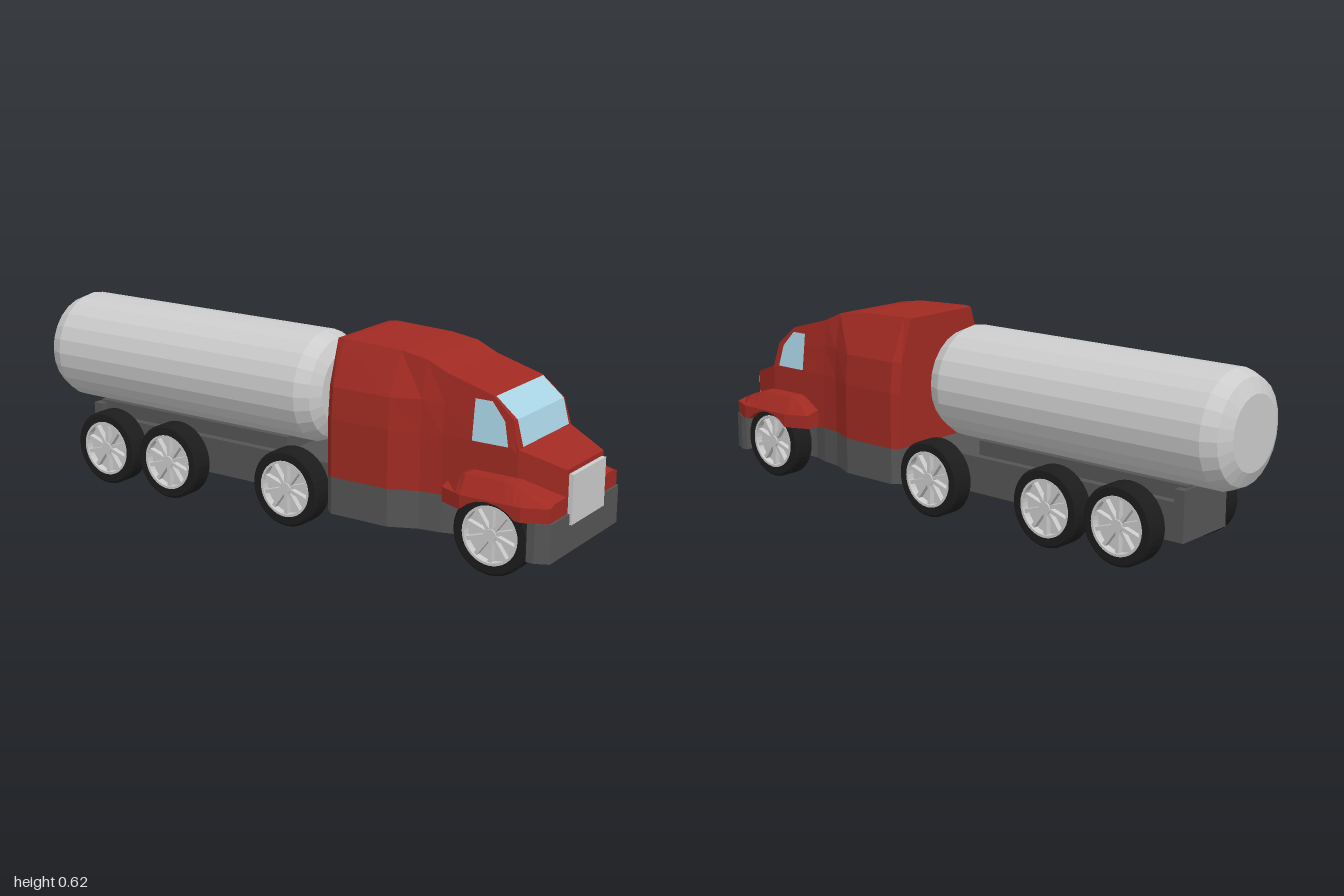
import * as THREE from 'three';

const mat = (color, extra = {}) => new THREE.MeshStandardMaterial({ color, ...extra });
const grey = mat(0xcccccc, { flatShading: true });
const red = mat(0xa02a22, { flatShading: true });
const dark = mat(0x555555, { flatShading: true });
const rubber = mat(0x1c1c1c);
const metal = mat(0xcccccc);
const glass = mat(0xa9d3e4, { side: THREE.DoubleSide });

function add(parent, name, geometry, material, x = 0, y = 0, z = 0) {
  const mesh = new THREE.Mesh(geometry, material);
  mesh.name = name;
  mesh.position.set(x, y, z);
  parent.add(mesh);
  return mesh;
}

// Skins rings of [x, y] points, counterclockwise seen from +z, placed at rising z
function loft(sections) {
  const n = sections[0].ring.length;
  const pos = [];
  const put = (i, j) => {
    const s = sections[i], p = s.ring[j % n];
    pos.push(p[0], p[1], s.z);
  };
  const last = sections.length - 1;
  for (let i = 0; i < last; i++) {
    for (let j = 0; j < n; j++) {
      put(i, j); put(i, j + 1); put(i + 1, j + 1);
      put(i, j); put(i + 1, j + 1); put(i + 1, j);
    }
  }
  for (let j = 1; j < n - 1; j++) {
    put(0, 0); put(0, j + 1); put(0, j);
    put(last, 0); put(last, j); put(last, j + 1);
  }
  const g = new THREE.BufferGeometry();
  g.setAttribute('position', new THREE.Float32BufferAttribute(pos, 3));
  g.computeVertexNormals();
  return g;
}

// Symmetric loft: each row is [z, [x, y], ...] with the points climbing the +x side
const symmetricLoft = rows => loft(rows.map(([z, ...half]) => ({
  z, ring: [...half, ...half.map(([x, y]) => [-x, y]).reverse()],
})));

// Fender with an arched underside, swelling out over the wheel
function fender(side) {
  const top = [[0.63, 0.25], [0.7, 0.295], [0.855, 0.295], [0.985, 0.248]];
  const width = [[0.63, 0.22], [0.71, 0.255], [0.91, 0.255], [0.985, 0.22]];
  const at = (table, z) => {
    let k = 0;
    while (k < table.length - 2 && z > table[k + 1][0]) k++;
    const [a, b] = [table[k], table[k + 1]];
    return THREE.MathUtils.lerp(a[1], b[1], (z - a[0]) / (b[0] - a[0]));
  };
  const zs = [0.63, 0.69, 0.71, 0.735, 0.765, 0.8, 0.835, 0.865, 0.89, 0.91, 0.985];
  return loft(zs.map(z => {
    const d = z - 0.8;
    const low = Math.max(0.195, 0.11 + Math.sqrt(Math.max(0, 0.0156 - d * d)));
    const t = at(top, z), w = at(width, z);
    const ring = [[0.1, low], [w, low], [w, 0.24], [w - 0.035, t], [0.1, t]]
      .map(([x, y]) => [x * side, y]);
    return { z, ring: side > 0 ? ring : ring.reverse() };
  }));
}

const lathe = (pts, segments) =>
  new THREE.LatheGeometry(pts.map(p => new THREE.Vector2(...p)), segments);

// Wheel with its outer face toward +x
function makeWheel() {
  const wheel = new THREE.Group();
  const tyre = lathe([[0.09, -0.0375], [0.117, -0.0375], [0.125, -0.03], [0.125, 0.03],
    [0.117, 0.0375], [0.09, 0.0375], [0.09, -0.0375]], 36);
  add(wheel, 'tyre', tyre.rotateZ(-Math.PI / 2), mat(0x1c1c1c, { flatShading: true }));
  const rim = lathe([[0.084, 0.01], [0.092, 0.01], [0.092, 0.039], [0.084, 0.039], [0.084, 0.01]], 36);
  add(wheel, 'rim', rim.rotateZ(-Math.PI / 2), grey);
  const disc = new THREE.CylinderGeometry(0.091, 0.091, 0.045, 36).rotateZ(Math.PI / 2);
  add(wheel, 'wheelDisc', disc, metal, -0.009);
  const hub = new THREE.CylinderGeometry(0.02, 0.02, 0.03, 16).rotateZ(Math.PI / 2);
  add(wheel, 'hub', hub, metal, 0.022);
  for (let i = 0; i < 10; i++) {
    const spoke = new THREE.BoxGeometry(0.02, 0.07, 0.012).translate(0, 0.051, 0);
    add(wheel, 'spoke', spoke, grey, 0.022).rotation.x = i * Math.PI / 5;
  }
  return wheel;
}

export function createModel() {
  const truck = new THREE.Group();
  truck.name = 'tankerTruck';

  // Chassis outline seen from below, mirrored about the centre line
  const half = [[0.22, 0.992], [0.24, 0.95], [0.24, 0.925], [0.15, 0.925], [0.15, 0.66],
    [0.17, 0.6], [0.18, 0.53], [0.22, 0.44], [0.22, 0.235], [0.2, 0.21], [0.112, 0.21], [0.112, -0.84]];
  const outline = [...half, ...half.map(([x, z]) => [-x, z]).reverse()];
  const plan = new THREE.Shape(outline.map(([x, z]) => new THREE.Vector2(x, -z)));
  const chassis = new THREE.ExtrudeGeometry(plan, { depth: 0.12, bevelEnabled: false });
  add(truck, 'chassis', chassis.rotateX(-Math.PI / 2), dark, 0, 0.075);
  add(truck, 'tankSaddle', new THREE.BoxGeometry(0.17, 0.055, 0.8), dark, 0, 0.215, -0.43);
  add(truck, 'rearBracket', new THREE.BoxGeometry(0.224, 0.045, 0.035), dark, 0, 0.213, -0.8225);

  // Tank with rounded ends
  const tank = lathe([[0, -1], [0.116, -1], [0.162, -0.977], [0.183, -0.93],
    [0.183, 0.063], [0.162, 0.11], [0.122, 0.133], [0, 0.133]], 24);
  add(truck, 'tank', tank.rotateX(Math.PI / 2), grey, 0, 0.413);

  // Cab with sleeper, bottom to roof at each station
  add(truck, 'cab', symmetricLoft([
    [0.21, [0.2, 0.195], [0.2, 0.38], [0.19, 0.48], [0.145, 0.618]],
    [0.235, [0.22, 0.195], [0.22, 0.38], [0.21, 0.48], [0.15, 0.62]],
    [0.44, [0.22, 0.195], [0.22, 0.38], [0.21, 0.48], [0.15, 0.612]],
    [0.53, [0.18, 0.195], [0.18, 0.38], [0.175, 0.48], [0.152, 0.598]],
    [0.6, [0.17, 0.195], [0.17, 0.38], [0.161, 0.48], [0.15, 0.567]],
    [0.757, [0.168, 0.195], [0.168, 0.38], [0.159, 0.46], [0.151, 0.522]],
    [0.83, [0.168, 0.195], [0.168, 0.38], [0.162, 0.43], [0.158, 0.46]],
    [0.85, [0.168, 0.195], [0.168, 0.36], [0.168, 0.375], [0.167, 0.382]],
  ]), red);

  // Hood tapering to the grille
  add(truck, 'hood', symmetricLoft([
    [0.84, [0.166, 0.195], [0.168, 0.295], [0.168, 0.382]],
    [0.985, [0.118, 0.195], [0.118, 0.25], [0.118, 0.33]],
  ]), red);
  add(truck, 'grille', new THREE.BoxGeometry(0.212, 0.153, 0.03), grey, 0, 0.239, 0.985);

  // Windscreen, bent across the middle
  const pane = new THREE.PlaneGeometry(0.29, 1, 1, 2);
  [[0.521, 0.762], [0.462, 0.834], [0.383, 0.855]].forEach(([y, z], row) => {
    for (let c = 0; c < 2; c++) {
      const i = row * 2 + c;
      pane.attributes.position.setXYZ(i, pane.attributes.position.getX(i), y, z);
    }
  });
  const bent = pane.toNonIndexed();
  bent.computeVertexNormals();
  add(truck, 'windscreen', bent, glass);

  // Side windows follow the lean of the cab wall
  const windowShape = new THREE.Shape([[0.82, 0.382], [0.803, 0.455], [0.757, 0.507],
    [0.7, 0.507], [0.7, 0.382]].map(p => new THREE.Vector2(...p)));
  for (const [side, label] of [[1, 'left'], [-1, 'right']]) {
    const g = new THREE.ShapeGeometry(windowShape);
    const p = g.attributes.position;
    for (let i = 0; i < p.count; i++) {
      const z = p.getX(i), y = p.getY(i);
      p.setXYZ(i, side * (0.172 - 0.12 * (y - 0.38)), y, z);
    }
    if (side > 0) g.setIndex([...g.index.array].reverse());
    g.computeVertexNormals();
    add(truck, label + 'Window', g, glass);
    add(truck, label + 'Fender', fender(side), red);

    // Front, drive and two tank axles
    for (const z of [0.8, 0.065, -0.415, -0.685]) {
      const wheel = makeWheel();
      wheel.name = label + 'Wheel';
      wheel.position.set(side * 0.1925, 0.125, z);
      if (side < 0) wheel.rotation.y = Math.PI;
      truck.add(wheel);
    }
  }
  for (const z of [0.8, 0.065, -0.415, -0.685]) {
    const axle = new THREE.CylinderGeometry(0.015, 0.015, 0.34, 12).rotateZ(Math.PI / 2);
    add(truck, 'axle', axle, rubber, 0, 0.125, z);
  }
  return truck;
}
